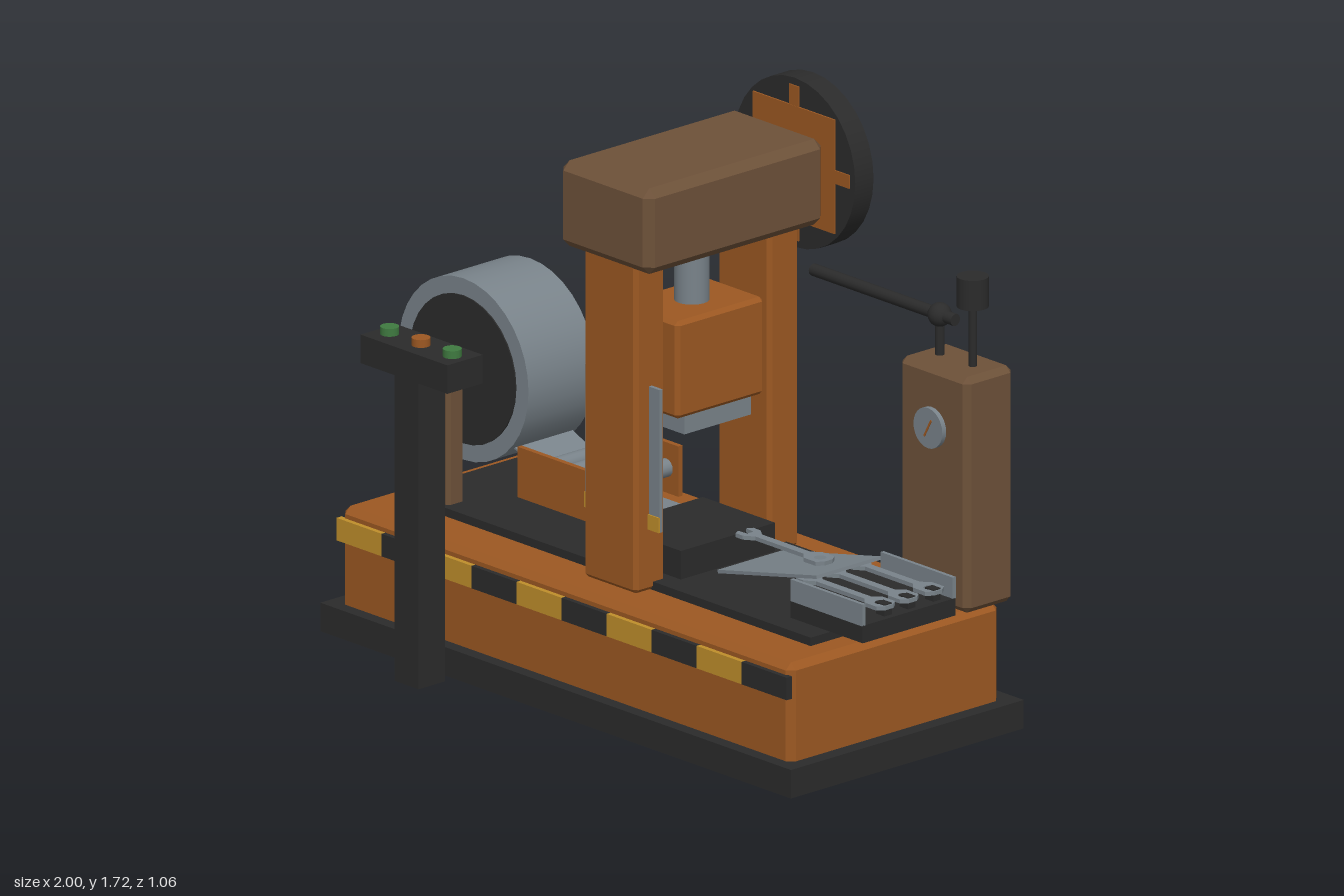
import * as THREE from 'three';
import { ConvexGeometry } from 'three/addons/geometries/ConvexGeometry.js';

const mat = (name, color, side = THREE.FrontSide) => {
  const m = new THREE.MeshStandardMaterial({ color, side });
  m.name = name;
  return m;
};

export function createModel() {
  const root = new THREE.Group();
  root.name = 'stampingPress';
  const orange = mat('orange paint', 0x9c5822);
  const brown = mat('brown paint', 0x6d5139);
  const black = mat('black iron', 0x2b2b2b);
  const steel = mat('steel', 0x79838a);
  const yellow = mat('hazard yellow', 0xbf8e2b);
  const green = mat('green button', 0x3f7a40);

  const add = (name, geo, m, x = 0, y = 0, z = 0) => {
    const mesh = new THREE.Mesh(geo, m);
    mesh.name = name;
    mesh.position.set(x, y, z);
    root.add(mesh);
    return mesh;
  };
  // Box given by its limits on each axis
  const box = (name, m, x0, x1, y0, y1, z0, z1) =>
    add(name, new THREE.BoxGeometry(x1 - x0, y1 - y0, z1 - z0), m, (x0 + x1) / 2, (y0 + y1) / 2, (z0 + z1) / 2);
  // Box with chamfered edges
  const bevel = (name, m, x0, x1, y0, y1, z0, z1, b = 0.02) => {
    const h = [(x1 - x0) / 2, (y1 - y0) / 2, (z1 - z0) / 2];
    const pts = [];
    for (const sx of [-1, 1]) for (const sy of [-1, 1]) for (const sz of [-1, 1])
      for (let k = 0; k < 3; k++) {
        const c = h.map((v, i) => (i === k ? v : v - b));
        pts.push(new THREE.Vector3(c[0] * sx, c[1] * sy, c[2] * sz));
      }
    return add(name, new ConvexGeometry(pts), m, (x0 + x1) / 2, (y0 + y1) / 2, (z0 + z1) / 2);
  };
  // Cylinder along an axis, centred on x, y, z
  const cyl = (name, m, axis, r, len, x, y, z, n = 20) => {
    const g = new THREE.CylinderGeometry(r, r, len, n);
    if (axis === 'x') g.rotateZ(Math.PI / 2);
    if (axis === 'z') g.rotateX(Math.PI / 2);
    return add(name, g, m, x, y, z);
  };

  // Base
  box('basePlate', black, -0.98, 0.975, 0, 0.085, -0.51, 0.38);
  bevel('bed', orange, -0.94, 0.93, 0.05, 0.375, -0.465, 0.34, 0.02);
  box('deck', black, -0.855, 0.845, 0.37, 0.4, -0.325, 0.185);
  for (let i = 0; i < 10; i++) {
    const x = -0.94 + i * 0.187;
    box('hazardStripe', i % 2 ? black : yellow, x, x + 0.187, 0.275, 0.342, 0.335, 0.355);
  }

  // Frame columns and crown
  for (const s of [-1, 1]) {
    const z = -0.063 + s * 0.256;
    bevel('column', orange, -0.03, 0.19, 0.375, 1.36, z - 0.058, z + 0.058, 0.012);
  }
  bevel('crown', brown, -0.11, 0.27, 1.345, 1.6, -0.405, 0.275, 0.025);

  // Ram and dies
  cyl('ramRod', steel, 'y', 0.05, 0.175, 0.08, 1.23, -0.065);
  bevel('ram', orange, -0.045, 0.205, 0.865, 1.155, -0.23, 0.105, 0.012);
  box('upperDie', steel, -0.03, 0.19, 0.81, 0.868, -0.19, 0.065);
  box('lowerDie', black, -0.07, 0.23, 0.4, 0.485, -0.245, 0.115);

  // Guard plate around the front column
  box('guardPlate', steel, -0.075, 0.235, 0.56, 0.985, 0.189, 0.201);
  box('guardStripe', yellow, -0.075, 0.235, 0.56, 0.605, 0.2, 0.205);

  // Flywheel
  cyl('flywheelShaft', black, 'z', 0.04, 0.1, 0.08, 1.47, -0.43);
  cyl('flywheelRim', black, 'z', 0.252, 0.07, 0.08, 1.47, -0.493, 32);
  for (const z of [-0.456, -0.53]) {
    box('flywheelPanel', orange, -0.09, 0.25, 1.3, 1.64, z - 0.003, z + 0.003);
    box('flywheelSpoke', orange, 0.06, 0.1, 1.24, 1.7, z - 0.002, z + 0.002);
    box('flywheelSpoke', orange, -0.15, 0.31, 1.45, 1.49, z - 0.002, z + 0.002);
  }
  cyl('flywheelCap', steel, 'z', 0.055, 0.01, 0.08, 1.47, -0.532);

  // Coil on its stand
  cyl('coil', steel, 'z', 0.27, 0.255, -0.73, 0.77, -0.065, 36);
  cyl('coilCore', black, 'z', 0.22, 0.263, -0.73, 0.77, -0.065, 32);
  cyl('coilAxle', black, 'z', 0.042, 0.5, -0.73, 0.77, -0.065);
  for (const s of [-1, 1]) {
    const z = -0.065 + s * 0.2;
    bevel('coilStand', brown, -0.78, -0.68, 0.39, 0.855, z - 0.032, z + 0.032, 0.01);
  }

  // Straightener rollers and strip
  for (const z of [-0.242, 0.092])
    box('rollerFrame', orange, -0.465, -0.16, 0.465, 0.615, z - 0.008, z + 0.008);
  [[-0.425, 0.54], [-0.31, 0.56], [-0.21, 0.54]].forEach(([x, y]) =>
    cyl('roller', steel, 'z', 0.027, 0.32, x, y, -0.075, 16));
  box('strip', steel, -0.26, 0, 0.465, 0.475, -0.18, 0.04);
  const lead = box('stripLead', steel, -0.55, -0.42, 0.55, 0.556, -0.18, 0.04);
  lead.rotation.z = -0.4;

  // Control cabinet with gauge, lever and beacon
  bevel('cabinet', brown, 0.665, 0.95, 0.375, 1.077, -0.5, -0.315, 0.018);
  cyl('gauge', steel, 'z', 0.06, 0.016, 0.805, 0.9, -0.308, 24);
  box('gaugeNeedle', orange, 0.802, 0.808, 0.87, 0.93, -0.301, -0.298).rotation.z = -0.5;
  cyl('leverPost', black, 'y', 0.014, 0.12, 0.735, 1.13, -0.41, 12);
  add('leverBall', new THREE.SphereGeometry(0.035, 16, 12), black, 0.735, 1.195, -0.41);
  cyl('leverArm', black, 'x', 0.018, 0.59, 0.505, 1.195, -0.41, 12);
  cyl('beaconStem', black, 'y', 0.012, 0.19, 0.872, 1.165, -0.41, 12);
  cyl('beacon', black, 'y', 0.046, 0.09, 0.872, 1.3, -0.41, 16);

  // Operator pedestal
  box('pedestalPost', black, -0.525, -0.425, 0, 0.92, 0.415, 0.515);
  box('pedestalConsole', black, -0.655, -0.295, 0.915, 1, 0.39, 0.525);
  [green, orange, green].forEach((m, i) =>
    cyl('button', m, 'y', 0.027, 0.03, -0.605 + i * 0.13, 1.008, 0.46, 16));

  // Sloped chute and tray
  const chute = box('chute', steel, 0.313, 0.733, 0.471, 0.481, -0.19, 0.055);
  chute.rotation.z = 0.21;
  box('trayFloor', black, 0.68, 0.98, 0.4, 0.452, -0.245, 0.11);
  for (const z of [-0.24, 0.105])
    box('traySide', steel, 0.68, 0.98, 0.45, 0.515, z - 0.006, z + 0.006);

  // Stamped spanners: open jaw at one end, slotted head at the other
  const outline = [[-0.18, 0.015], [-0.17, 0.034], [-0.14, 0.034], [-0.11, 0.013], [0.09, 0.013],
    [0.115, 0.036], [0.165, 0.036], [0.18, 0.015]];
  const shape = new THREE.Shape();
  shape.moveTo(-0.145, 0.012);
  outline.forEach(([x, y]) => shape.lineTo(x, y));
  [...outline].reverse().forEach(([x, y]) => shape.lineTo(x, -y));
  shape.lineTo(-0.145, -0.012);
  shape.closePath();
  const slot = new THREE.Path();
  slot.absarc(0.145, 0, 0.018, 0, Math.PI * 2, true);
  shape.holes.push(slot);
  const spanner = new THREE.ExtrudeGeometry(shape, { depth: 0.012, bevelEnabled: false, curveSegments: 6 });
  spanner.rotateX(-Math.PI / 2);
  add('spanner', spanner, steel, 0.465, 0.508, -0.068);
  for (const z of [-0.165, -0.068, 0.022]) {
    add('traySpanner', spanner, steel, 0.815, 0.485, z);
    box('trayPin', black, 0.955, 0.99, 0.465, 0.5, z - 0.014, z + 0.014);
  }
  return root;
}
